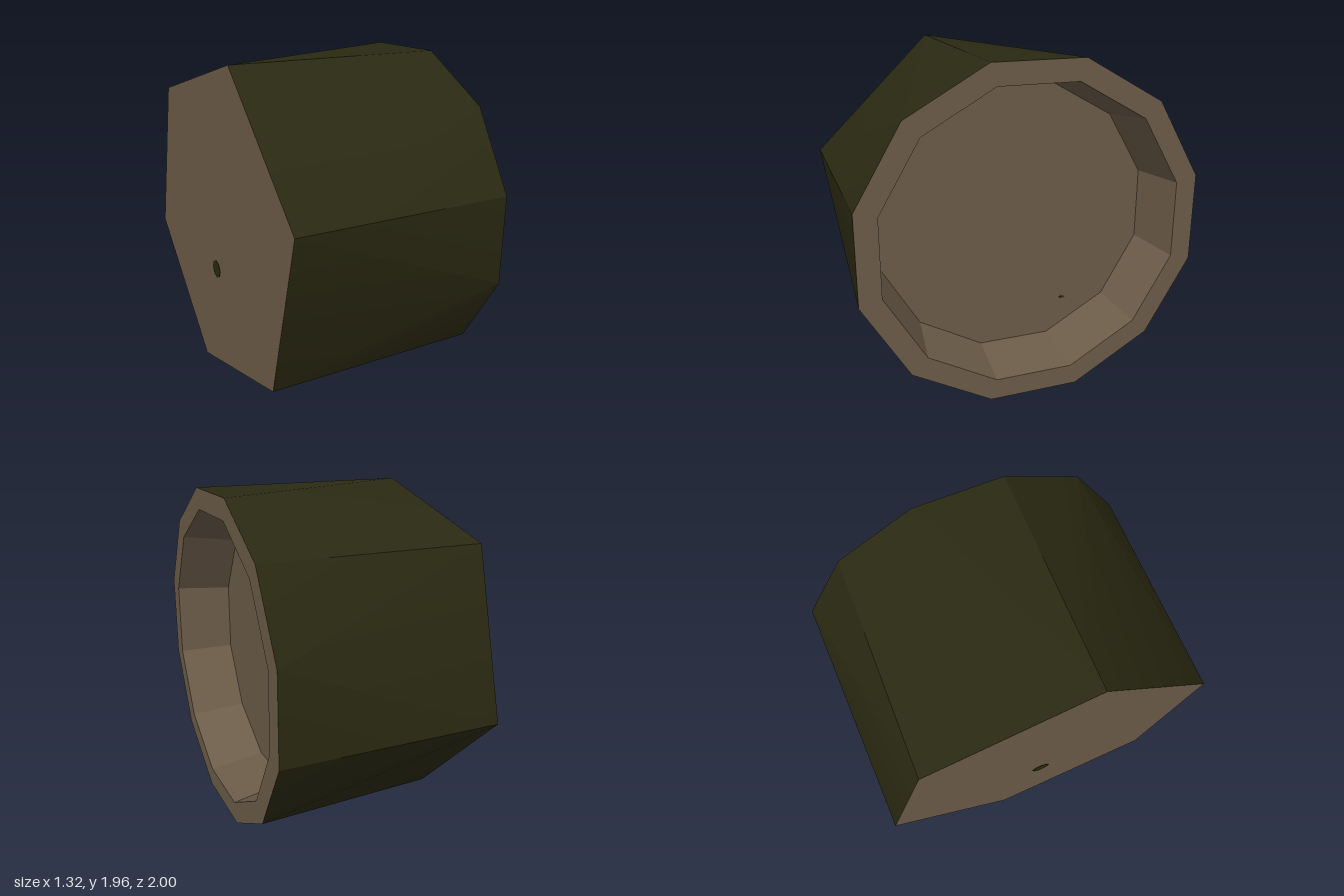
import * as THREE from 'three';
import { toCreasedNormals } from 'three/addons/utils/BufferGeometryUtils.js';

const HALF = 0.66, FLOOR_X = 0.32, CENTRE_Y = 0.98;
const R = 1 / Math.cos(Math.PI / 12);

// Corner of a cross-section at x; deg turns from +z towards +y
function corner(x, radius, deg) {
  const a = THREE.MathUtils.degToRad(deg);
  return [x, CENTRE_Y + radius * 0.978 * Math.sin(a), radius * Math.cos(a)];
}

function loop(x, radius, sides) {
  return Array.from({ length: sides }, (_, i) => corner(x, radius, 15 + i * 360 / sides));
}

function geometryFrom(points) {
  const g = new THREE.BufferGeometry();
  g.setAttribute('position', new THREE.Float32BufferAttribute(points.flat(), 3));
  g.computeVertexNormals();
  return g;
}

// Faces joining two loops with the same number of corners
function band(a, b) {
  const pts = [];
  a.forEach((p, i) => {
    const j = (i + 1) % a.length;
    pts.push(p, b[i], b[j], p, b[j], a[j]);
  });
  return geometryFrom(pts);
}

// Flat cap; dir +1 faces +x, -1 faces -x
function cap(ring, dir) {
  const mid = [ring[0][0], CENTRE_Y, 0];
  const pts = [];
  ring.forEach((p, i) => {
    const q = ring[(i + 1) % ring.length];
    pts.push(mid, ...(dir > 0 ? [q, p] : [p, q]));
  });
  return geometryFrom(pts);
}

export function createModel() {
  const group = new THREE.Group();
  const material = (name, color) => {
    const m = new THREE.MeshStandardMaterial({ color });
    m.name = name;
    return m;
  };
  const bark = material('darkBark', 0x2a2912);
  const wood = material('brownWood', 0x6c5c49);
  const add = (name, geometry, mat) => {
    const mesh = new THREE.Mesh(geometry, mat);
    mesh.name = name;
    group.add(mesh);
    return mesh;
  };

  // Bark: six-sided at the closed end, twelve-sided at the hollow end
  const pts = [];
  for (let k = 0; k < 6; k++) {
    const a = 15 + 60 * k;
    const L = (d) => corner(-HALF, R, d);
    const E = (d) => corner(HALF, R, d);
    pts.push(L(a), E(a - 30), E(a));
    pts.push(L(a), L(a - 60), E(a - 30));
    pts.push(L(a - 60), E(a - 60), E(a - 30));
  }
  add('barkShell', toCreasedNormals(geometryFrom(pts), 0.45), bark);

  // Cut ends and the shallow hollow
  const outer = loop(HALF, R, 12);
  const rim = loop(HALF, 0.873 * R, 12);
  const floor = loop(FLOOR_X, 0.817 * R, 12);
  add('closedEnd', cap(loop(-HALF, R, 6), -1), wood);
  add('hollowRim', band(outer, rim), wood);
  add('hollowWall', band(rim, floor), wood);
  add('hollowFloor', cap(floor, 1), wood);

  // Small dark knots
  const knot = (name, radius, x, y, z) => {
    const mesh = add(name, new THREE.CylinderGeometry(radius, radius, 0.006, 8), bark);
    mesh.rotation.z = Math.PI / 2;
    mesh.position.set(x, y, z);
    return mesh;
  };
  knot('closedEndKnot', 0.055, -HALF, 0.7, -0.02);
  knot('hollowKnot', 0.02, FLOOR_X, 0.41, -0.32).scale.x = 0.4;
  return group;
}
